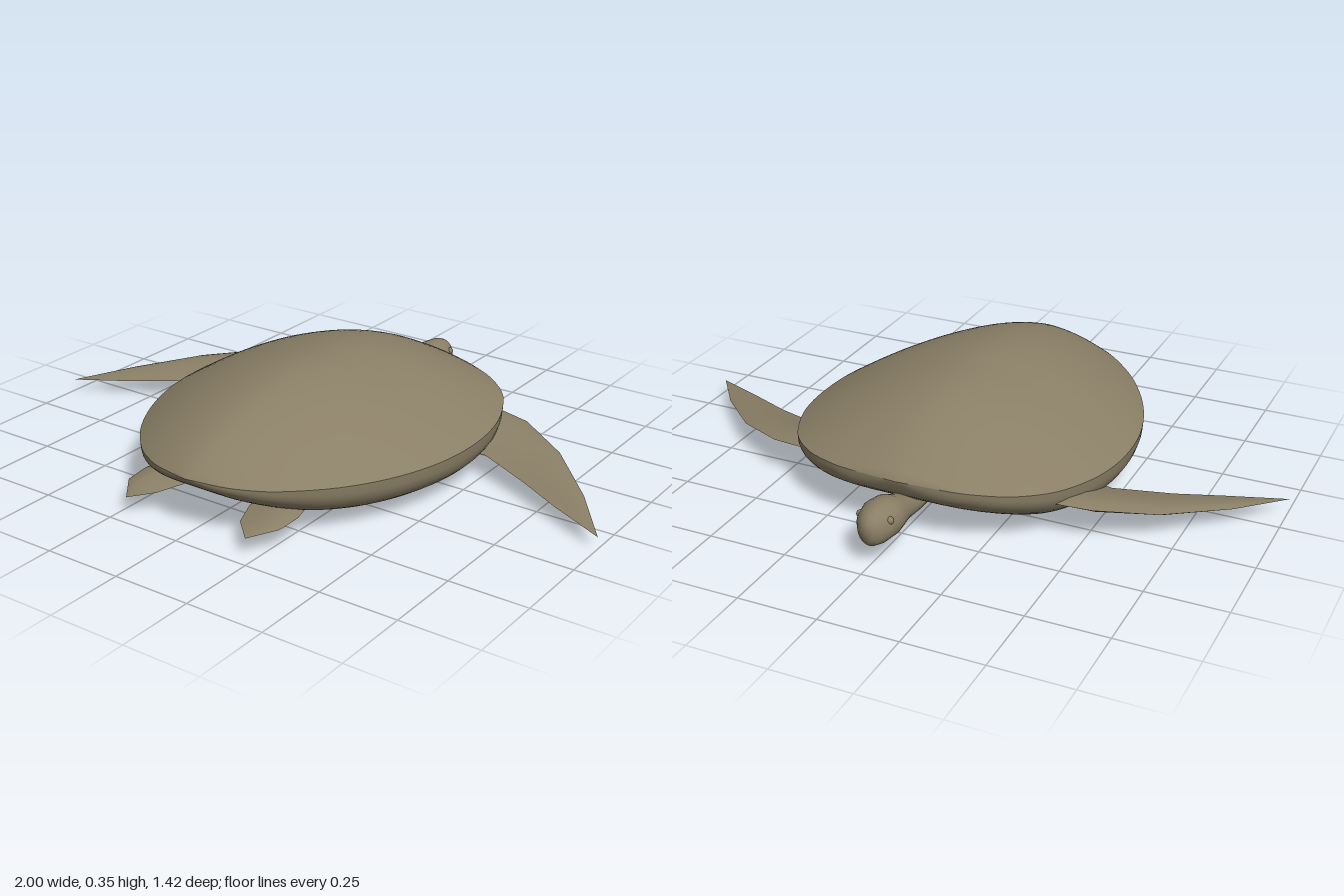
import * as THREE from 'three';
import { mergeVertices, toCreasedNormals } from 'three/addons/utils/BufferGeometryUtils.js';

const skin = new THREE.MeshStandardMaterial({ color: 0x8a7f66 });
skin.name = 'olive brown skin';

// Skins a list of rings; each ring runs counter-clockwise about the direction of travel.
function loft(rings, closed, crease) {
  const n = rings[0].length, pos = rings.flat(2), index = [];
  for (let i = 0; i < rings.length - 1; i++) {
    for (let j = 0; j < (closed ? n : n - 1); j++) {
      const k = (j + 1) % n, a = i * n + j, b = i * n + k, c = a + n, d = b + n;
      index.push(a, b, c, b, d, c);
    }
  }
  let geo = new THREE.BufferGeometry();
  geo.setAttribute('position', new THREE.Float32BufferAttribute(pos, 3));
  geo.setIndex(index);
  geo = mergeVertices(geo, 1e-5);
  // Drop the triangles that collapsed at the tips
  const src = geo.index.array, kept = [];
  for (let t = 0; t < src.length; t += 3) {
    const [a, b, c] = [src[t], src[t + 1], src[t + 2]];
    if (a !== b && b !== c && a !== c) kept.push(a, b, c);
  }
  geo.setIndex(kept);
  geo.computeVertexNormals();
  return crease ? toCreasedNormals(geo, crease) : geo;
}

// Shell stations: z, half width, top y, rim y, bottom y
const SHELL = [
  [-0.535, 0, 0.19, 0.19, 0.19], [-0.515, 0.17, 0.21, 0.185, 0.145],
  [-0.49, 0.25, 0.222, 0.18, 0.122], [-0.45, 0.33, 0.243, 0.174, 0.095],
  [-0.38, 0.41, 0.275, 0.168, 0.06], [-0.3, 0.46, 0.305, 0.162, 0.028],
  [-0.2, 0.5, 0.33, 0.158, 0.01], [-0.1, 0.52, 0.343, 0.155, 0.003],
  [0, 0.525, 0.347, 0.153, 0], [0.1, 0.518, 0.35, 0.153, 0.003],
  [0.2, 0.497, 0.345, 0.153, 0.009], [0.3, 0.462, 0.332, 0.154, 0.016],
  [0.4, 0.412, 0.312, 0.156, 0.03], [0.5, 0.345, 0.284, 0.16, 0.054],
  [0.6, 0.25, 0.243, 0.165, 0.098], [0.65, 0.175, 0.215, 0.169, 0.128],
  [0.68, 0.11, 0.194, 0.173, 0.15], [0.703, 0, 0.176, 0.176, 0.176],
];

function shellRings(upper) {
  const curve = (f) => new THREE.CatmullRomCurve3(SHELL.map(f), false, 'catmullrom', 0.5);
  const size = curve((s) => new THREE.Vector3(s[1], s[2], s[0]));
  const level = curve((s) => new THREE.Vector3(s[3], s[4], s[0]));
  const rings = [], rows = 51, cols = 32;
  for (let i = 0; i <= rows; i++) {
    const { x: w, y: top, z } = size.getPoint(i / rows);
    const { x: rim, y: bottom } = level.getPoint(i / rows);
    const ring = [];
    for (let j = 0; j <= cols; j++) {
      const u = Math.cos(Math.PI * j / cols), a = Math.abs(u);
      // Gently peaked dome above, flat-bottomed bowl below
      if (upper) ring.push([w * u, rim + (top - rim) * (1 - a ** 1.7), z]);
      else ring.push([-w * u, rim + (bottom - rim) * Math.max(0, 1 - a ** 4) ** 0.4, z]);
    }
    rings.push(ring);
  }
  return rings;
}

// Head and neck stations from snout to throat: z, half width, top y, bottom y
const HEAD = [
  [-0.715, 0, 0.115, 0.115], [-0.71, 0.022, 0.143, 0.082], [-0.695, 0.038, 0.16, 0.063],
  [-0.67, 0.054, 0.171, 0.056], [-0.62, 0.066, 0.175, 0.055], [-0.57, 0.06, 0.166, 0.058],
  [-0.53, 0.05, 0.145, 0.058], [-0.45, 0.045, 0.118, 0.05], [-0.38, 0.038, 0.095, 0.047],
  [-0.32, 0, 0.07, 0.07],
];

function headRings() {
  return HEAD.map(([z, w, top, bottom]) => Array.from({ length: 20 }, (_, j) => {
    const a = j / 20 * Math.PI * 2;
    return [w * Math.cos(a), (top + bottom) / 2 + (top - bottom) / 2 * Math.sin(a), z];
  }));
}

// Flipper stations: leading edge, trailing edge, thickness
const FRONT = [
  [[0.37, 0.125, -0.36], [0.38, 0.085, -0.09], 0.045],
  [[0.53, 0.115, -0.33], [0.51, 0.075, -0.11], 0.042],
  [[0.7, 0.09, -0.23], [0.68, 0.06, -0.04], 0.032],
  [[0.87, 0.062, -0.06], [0.82, 0.05, 0.03], 0.018],
  [[1, 0.04, 0.11], [1, 0.04, 0.11], 0],
];
const REAR = [
  [[0.25, 0.075, 0.42], [0.12, 0.075, 0.42], 0.03],
  [[0.285, 0.073, 0.55], [0.12, 0.07, 0.56], 0.034],
  [[0.28, 0.068, 0.63], [0.155, 0.066, 0.65], 0.022],
  [[0.22, 0.057, 0.71], [0.22, 0.057, 0.71], 0],
];

function flipperRings(stations, side) {
  // Lens-shaped section: position across the chord, height as part of thickness
  const section = [[0, 0], [0.15, 0.36], [0.38, 0.5], [0.7, 0.3],
    [1, 0], [0.7, -0.3], [0.38, -0.5], [0.15, -0.36]];
  return stations.map(([lead, trail, thick]) => {
    const ring = section.map(([u, h]) => {
      const p = lead.map((v, k) => v + (trail[k] - v) * u);
      return [p[0] * side, p[1] + h * thick, p[2]];
    });
    return side < 0 ? ring.reverse() : ring;
  });
}

export function createModel() {
  const model = new THREE.Group();
  model.name = 'seaTurtle';
  const add = (name, geometry) => {
    const mesh = new THREE.Mesh(geometry, skin);
    mesh.name = name;
    model.add(mesh);
    return mesh;
  };

  add('upperShell', loft(shellRings(true), false));
  add('lowerShell', loft(shellRings(false), false));
  add('headAndNeck', loft(headRings(), true));

  for (const [side, label] of [[1, 'left'], [-1, 'right']]) {
    add(label + 'FrontFlipper', loft(flipperRings(FRONT, side), true, 0.6));
    add(label + 'RearFlipper', loft(flipperRings(REAR, side), true, 0.6));
    // Small bulging eye
    const eye = add(label + 'Eye', new THREE.SphereGeometry(0.012, 12, 8));
    eye.position.set(side * 0.047, 0.138, -0.658);
  }
  return model;
}
